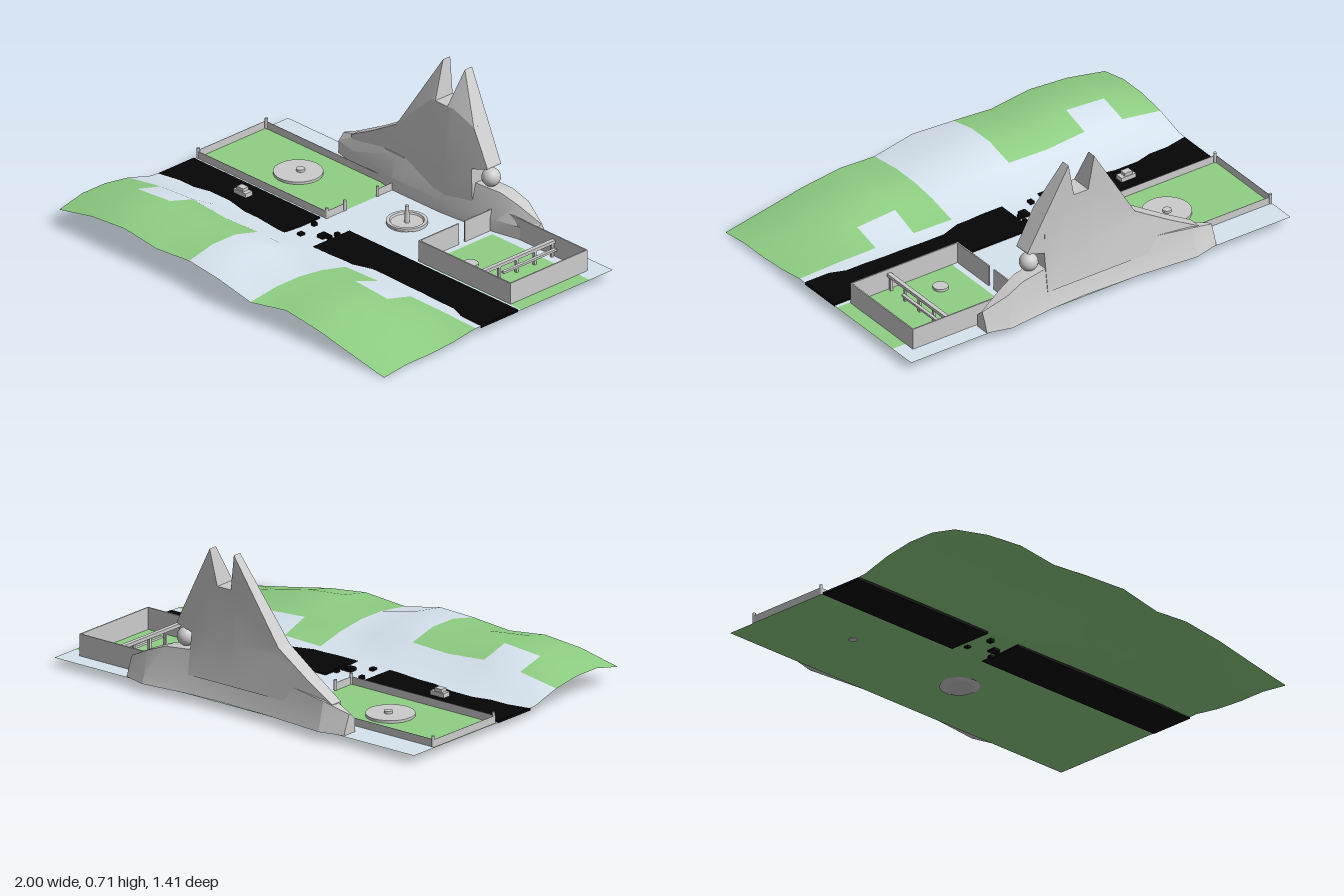
import * as THREE from 'three';
import { toCreasedNormals } from 'three/addons/utils/BufferGeometryUtils.js';

const mat = (color, side = THREE.FrontSide) => new THREE.MeshStandardMaterial({ color, side });
const grey = mat(0xcccccc);
const green = mat(0x8fcf83, THREE.DoubleSide);
const pale = mat(0xd6e3ee, THREE.DoubleSide);
const black = mat(0x050505);
const GROUND = 0.04;

function add(parent, name, geometry, material, x = 0, y = 0, z = 0) {
  const mesh = new THREE.Mesh(geometry, material);
  mesh.name = name;
  mesh.position.set(x, y, z);
  parent.add(mesh);
  return mesh;
}

// Box given by its two extreme corners
function slab(parent, name, [x0, y0, z0], [x1, y1, z1], material = grey) {
  const geo = new THREE.BoxGeometry(x1 - x0, y1 - y0, z1 - z0);
  return add(parent, name, geo, material, (x0 + x1) / 2, (y0 + y1) / 2, (z0 + z1) / 2);
}

function disc(parent, name, rTop, rBottom, height, x, y, z) {
  return add(parent, name, new THREE.CylinderGeometry(rTop, rBottom, height, 32), grey, x, y, z);
}

// Solid skin over closed cross-sections that follow each other along x
function loft(sections) {
  const pos = [];
  const n = sections[0].length;
  const area = new THREE.Triangle();
  const tri = (...corners) => {
    area.set(...corners.map((p) => new THREE.Vector3(...p)));
    if (area.getArea() > 1e-9) corners.forEach((p) => pos.push(...p));
  };
  for (let i = 0; i < sections.length - 1; i++) {
    for (let j = 0; j < n; j++) {
      const a = sections[i][j], b = sections[i + 1][j];
      const c = sections[i + 1][(j + 1) % n], d = sections[i][(j + 1) % n];
      tri(a, b, c);
      tri(a, c, d);
    }
  }
  const first = sections[0], last = sections[sections.length - 1];
  for (let j = 1; j < n - 1; j++) {
    tri(first[0], first[j], first[j + 1]);
    tri(last[0], last[j + 1], last[j]);
  }
  const geo = new THREE.BufferGeometry();
  geo.setAttribute('position', new THREE.Float32BufferAttribute(pos, 3));
  return toCreasedNormals(geo, 0.3);
}

// Piecewise-linear lookup in [key, value] pairs
function sample(pairs, k) {
  for (let i = 1; i < pairs.length; i++) {
    const [k0, v0] = pairs[i - 1], [k1, v1] = pairs[i];
    if (k <= k1) return v0 + (v1 - v0) * Math.max(0, (k - k0) / (k1 - k0));
  }
  return pairs[pairs.length - 1][1];
}

// Ground: a 10 x 10 grid, flat behind and rising to a hill in front
function buildTerrain(group) {
  const ridge = [0.11, 0.155, 0.17, 0.145, 0.155, 0.145, 0.1, 0.13, 0.11, 0.068, 0.018];
  const front = [0.08, 0.12, 0.135, 0.11, 0.125, 0.12, 0.08, 0.105, 0.08, 0.04, 0.002];
  const foot = [0.05, 0.053, 0.058, 0.052, 0.05, 0.049, 0.05, 0.055, 0.054, 0.053, 0.046];
  const pos = [], greenTop = [], paleTop = [], under = [];
  for (let r = 0; r <= 10; r++) {
    for (let c = 0; c <= 10; c++) {
      const y = r <= 5 ? GROUND : r === 6 ? foot[c]
        : r === 7 ? 0.045 + (ridge[c] - 0.045) * 0.68 : r < 10 ? ridge[c] : front[c];
      const bulge = r === 10 && (c === 5 || c === 6) ? 0.022 : 0;
      pos.push(-1 + c * 0.2, y, -0.68 + r * 0.136 + bulge);
    }
  }
  const isGreen = (r, c) => {
    if (r >= 1 && r <= 3) return c < 4 || c > 6;
    if (r >= 7 && c < 4) return !(r === 7 && c === 1);
    return r >= 6 && c > 5 && !(r === 6 && c === 7);
  };
  for (let r = 0; r < 10; r++) {
    for (let c = 0; c < 10; c++) {
      const a = r * 11 + c, b = a + 1, d = a + 11, e = d + 1;
      (isGreen(r, c) ? greenTop : paleTop).push(a, d, e, a, e, b);
      under.push(a, e, d, a, b, e);
    }
  }
  const surface = (name, index, whole, material, y) => {
    const geo = new THREE.BufferGeometry();
    geo.setAttribute('position', new THREE.Float32BufferAttribute(pos, 3));
    geo.setIndex(whole);
    geo.computeVertexNormals();
    geo.setIndex(index);
    add(group, name, geo, material, 0, y, 0);
  };
  const top = [...greenTop, ...paleTop];
  surface('grass', greenTop, top, green, 0);
  surface('paving', paleTop, top, pale, 0);
  surface('terrainUnderside', under, under, green, -0.002);
}

// Building: low hull with a twin-peaked fin on it
function buildBuilding(group) {
  const hull = [ // x, top, front z, back z
    [-0.61, 0.13, -0.605, -0.68], [-0.49, 0.17, -0.58, -0.71], [-0.2, 0.2, -0.525, -0.685],
    [0.09, 0.2, -0.525, -0.675], [0.27, 0.23, -0.54, -0.685], [0.4, 0.22, -0.565, -0.7],
    [0.49, 0.185, -0.585, -0.71], [0.6, 0.13, -0.61, -0.68],
  ];
  const base = GROUND + 0.001;
  add(group, 'buildingHull', loft(hull.map(([x, top, zf, zb]) => [
    [x, base, zf], [x, 0.1, zf], [x, top, zf - 0.03],
    [x, top, zb + 0.035], [x, 0.085, zb + 0.015], [x, base, zb],
  ])), grey);

  const frontZ = [[0.1, -0.532], [0.3, -0.523], [0.55, -0.543], [0.715, -0.61]];
  const backZ = [[0.1, -0.67], [0.2, -0.66], [0.33, -0.638], [0.715, -0.66]];
  const fin = [ // x, bottom, top
    [-0.53, 0.12, 0.16], [-0.38, 0.12, 0.24], [-0.21, 0.12, 0.34], [0.02, 0.12, 0.715],
    [0.045, 0.12, 0.55], [0.12, 0.12, 0.55], [0.155, 0.12, 0.715], [0.27, 0.12, 0.497],
    [0.2701, 0.305, 0.497], [0.355, 0.328, 0.335],
  ];
  add(group, 'buildingFin', loft(fin.map(([x, y0, y1]) => {
    const ys = [y0, 0.3, 0.55, y1].map((y) => Math.min(Math.max(y, y0), y1));
    const zf = (y) => sample(frontZ, y) - 0.12 * Math.abs(x - 0.09);
    return [...ys.map((y) => [x, y, zf(y)]),
      ...ys.reverse().map((y) => [x, y, Math.min(sample(backZ, y), zf(y) - 0.03)])];
  })), grey);
  add(group, 'sphere', new THREE.SphereGeometry(0.042, 24, 16), grey, 0.328, 0.267, -0.607);
}

// Low-walled lawn with a round platform
function buildLawn(group) {
  const t = 0.001, h = 0.075;
  for (const z of [-0.544, -0.136]) slab(group, 'lawnWall', [-1, GROUND, z - t], [-0.2, h, z + t]);
  for (const [x, z0, z1] of [[-0.998, -0.544, -0.136], [-0.2, -0.544, -0.44], [-0.2, -0.245, -0.136]])
    slab(group, 'lawnWall', [x - t, GROUND, z0], [x + t, h, z1]);
  for (const [x, z] of [[-0.993, -0.544], [-0.993, -0.138], [-0.2, -0.44], [-0.2, -0.245], [-0.2, -0.138]])
    disc(group, 'lawnPost', 0.007, 0.007, 0.048, x, 0.066, z);
  disc(group, 'platform', 0.108, 0.108, 0.012, -0.59, 0.048, -0.345);
  disc(group, 'platformKnob', 0.019, 0.019, 0.03, -0.585, 0.05, -0.353);
}

// High-walled yard with a rail stand inside
function buildYard(group) {
  const t = 0.003, h = 0.14;
  for (const z of [-0.595, -0.142]) slab(group, 'yardWall', [0.365, GROUND, z - t], [0.932, h, z + t]);
  for (const [x, z0, z1] of [[0.929, -0.595, -0.142], [0.368, -0.595, -0.41], [0.368, -0.375, -0.142]])
    slab(group, 'yardWall', [x - t, GROUND, z0], [x + t, h, z1]);
  slab(group, 'standBeam', [0.722, 0.105, -0.59], [0.742, 0.12, -0.145]);
  slab(group, 'standRail', [0.742, 0.075, -0.585], [0.757, 0.085, -0.27]);
  for (let i = 0; i < 5; i++) {
    const z = -0.585 + i * 0.105;
    slab(group, 'standPost', [0.726, GROUND + 0.001, z], [0.738, 0.11, z + 0.012]);
  }
  disc(group, 'yardDisc', 0.034, 0.034, 0.012, 0.55, 0.048, -0.27);
}

// Round basin with a tilted dish below and a column
function buildFountain(group) {
  const profile = [[0, 0.041], [0.09, 0.041], [0.09, 0.056], [0.075, 0.056], [0.07, 0.048], [0, 0.043]]
    .map(([r, y]) => new THREE.Vector2(r, y));
  add(group, 'basin', toCreasedNormals(new THREE.LatheGeometry(profile, 32), 0.3), grey, 0.07, 0, -0.355);
  disc(group, 'tiltedDish', 0.092, 0.06, 0.018, 0.07, 0.029, -0.355).rotation.x = -0.1;
  disc(group, 'column', 0.008, 0.012, 0.08, 0.07, 0.085, -0.355);
}

export function createModel() {
  const model = new THREE.Group();
  model.name = 'landscape';
  buildTerrain(model);
  buildBuilding(model);
  buildLawn(model);
  buildYard(model);
  buildFountain(model);

  // Two road strips with stepping blocks between them
  slab(model, 'leftRoad', [-1, 0.035, -0.118], [-0.22, 0.047, 0.1], black);
  slab(model, 'rightRoad', [-0.04, 0.035, -0.118], [1, 0.047, 0.1], black);
  for (const [x, z, s] of [[-0.19, -0.055, 0.018], [-0.16, 0.055, 0.022], [-0.083, -0.003, 0.034],
    [-0.055, -0.012, 0.018], [-0.05, -0.055, 0.018]])
    add(model, 'steppingBlock', new THREE.BoxGeometry(s, 0.026, s * 1.2), black, x, 0.042, z);

  // Small vehicle on the left road
  slab(model, 'vehicleBody', [-0.64, 0.05, -0.048], [-0.565, 0.07, -0.008]);
  slab(model, 'vehicleCabin', [-0.625, 0.07, -0.044], [-0.585, 0.085, -0.012]);
  return model;
}
